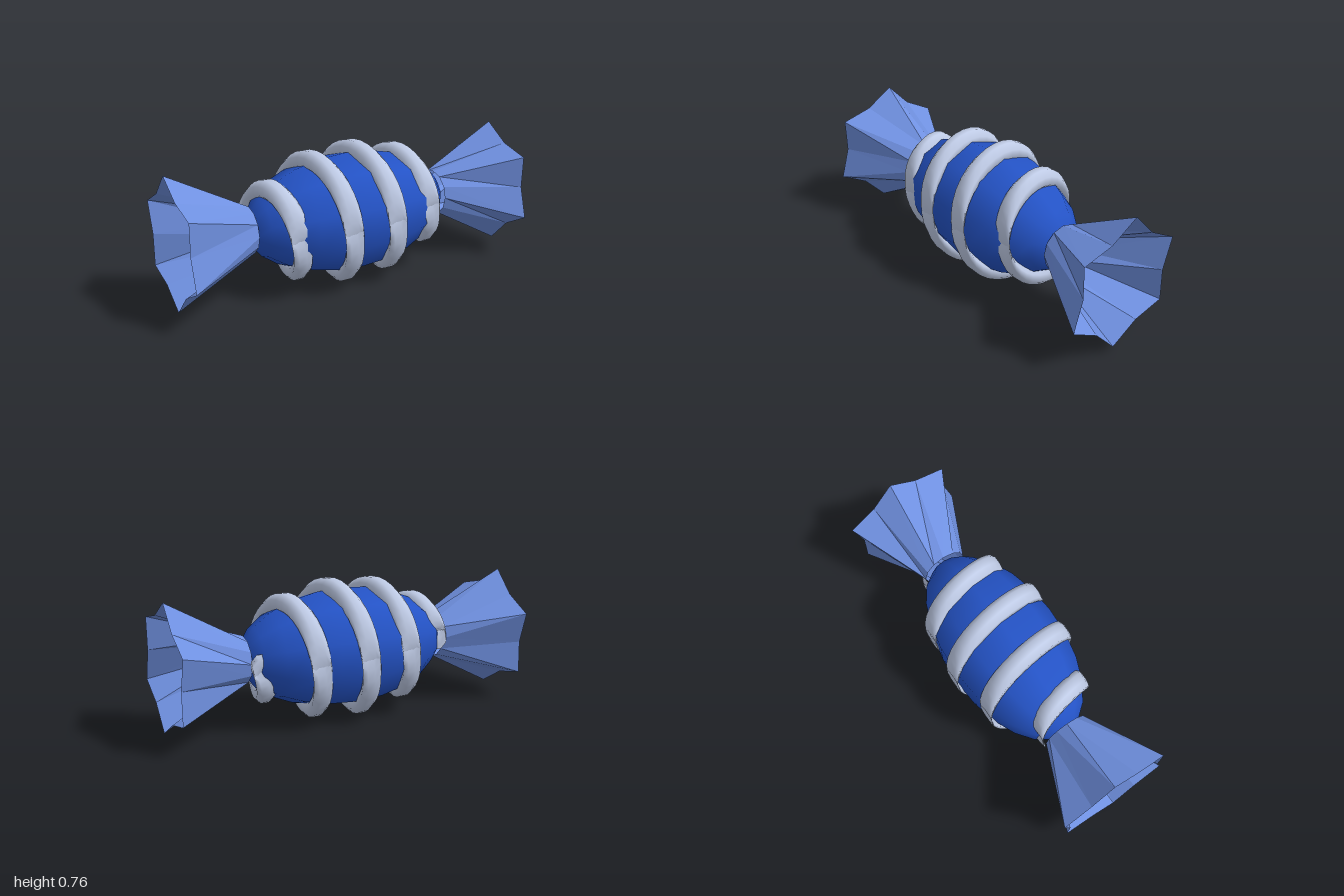
import * as THREE from 'three';

const CY = 0.384; // height of the long axis

// Indexed surface joining rings of equal point count; optionally closed with end caps
function loft(rings, caps) {
  const n = rings[0].length, pos = rings.flat(2), idx = [];
  for (let i = 0; i < rings.length - 1; i++) {
    for (let j = 0; j < n; j++) {
      const a = i * n + j, b = i * n + (j + 1) % n;
      idx.push(a, b, a + n, b, b + n, a + n);
    }
  }
  if (caps) {
    for (const base of [0, (rings.length - 1) * n]) {
      for (let j = 1; j < n - 1; j++) idx.push(base, base + j, base + j + 1);
    }
  }
  const g = new THREE.BufferGeometry();
  g.setAttribute('position', new THREE.Float32BufferAttribute(pos, 3));
  g.setIndex(idx);
  return g;
}

// Pleated, twisted wrapper end; side = +1 or -1 along x
function fanGeometry(side) {
  const inner = [], outer = [];
  for (let k = 0; k < 12; k++) {
    const a = k * Math.PI / 6, b = a + 0.395;
    const r = k % 2 ? 0.278 : 0.353;
    inner.push([side * 0.575, 0.125 * Math.sin(a), -0.125 * Math.cos(a)]);
    outer.push([side, r * Math.sin(b), -r * Math.cos(b)]);
  }
  const g = loft(side > 0 ? [outer, inner] : [inner, outer]).toNonIndexed();
  g.computeVertexNormals();
  return g;
}

// Spiral band: an upright octagon carried along a helix that hugs the body
function spiralGeometry() {
  const rings = [], turns = 4, steps = 32 * turns, end = 0.535;
  for (let i = 0; i <= steps; i++) {
    const t = i / steps, x = -end + 2 * end * t;
    const r = 0.33 * Math.sqrt(1 - (x / 0.589) ** 2);
    const a = t * turns * Math.PI * 2; // starts at the back, then over the top
    const ring = [];
    for (let j = 0; j < 8; j++) {
      const b = (j + 0.5) * Math.PI / 4;
      ring.push([x + 0.058 * Math.cos(b), r * Math.sin(a) + 0.058 * Math.sin(b), -r * Math.cos(a)]);
    }
    rings.push(ring);
  }
  const g = loft(rings, true);
  g.computeVertexNormals();
  return g;
}

export function createModel() {
  const blue = new THREE.MeshStandardMaterial({ color: 0x2453c6 });
  blue.name = 'deep blue';
  const paleBlue = new THREE.MeshStandardMaterial({ color: 0x6f90e0, side: THREE.DoubleSide });
  paleBlue.name = 'light blue';
  const white = new THREE.MeshStandardMaterial({ color: 0xbfcbe6, side: THREE.DoubleSide });
  white.name = 'bluish white';

  const group = new THREE.Group();
  group.name = 'wrappedCandy';
  const add = (name, geometry, material) => {
    const mesh = new THREE.Mesh(geometry, material);
    mesh.name = name;
    mesh.position.y = CY;
    group.add(mesh);
  };

  // Body: ellipsoid with its poles on the long axis
  const body = new THREE.SphereGeometry(1, 10, 12);
  body.rotateZ(Math.PI / 2).scale(0.596, 0.325, 0.325);
  add('body', body, blue);

  add('spiralBand', spiralGeometry(), white);
  add('leftWrapperEnd', fanGeometry(1), paleBlue);
  add('rightWrapperEnd', fanGeometry(-1), paleBlue);
  return group;
}
